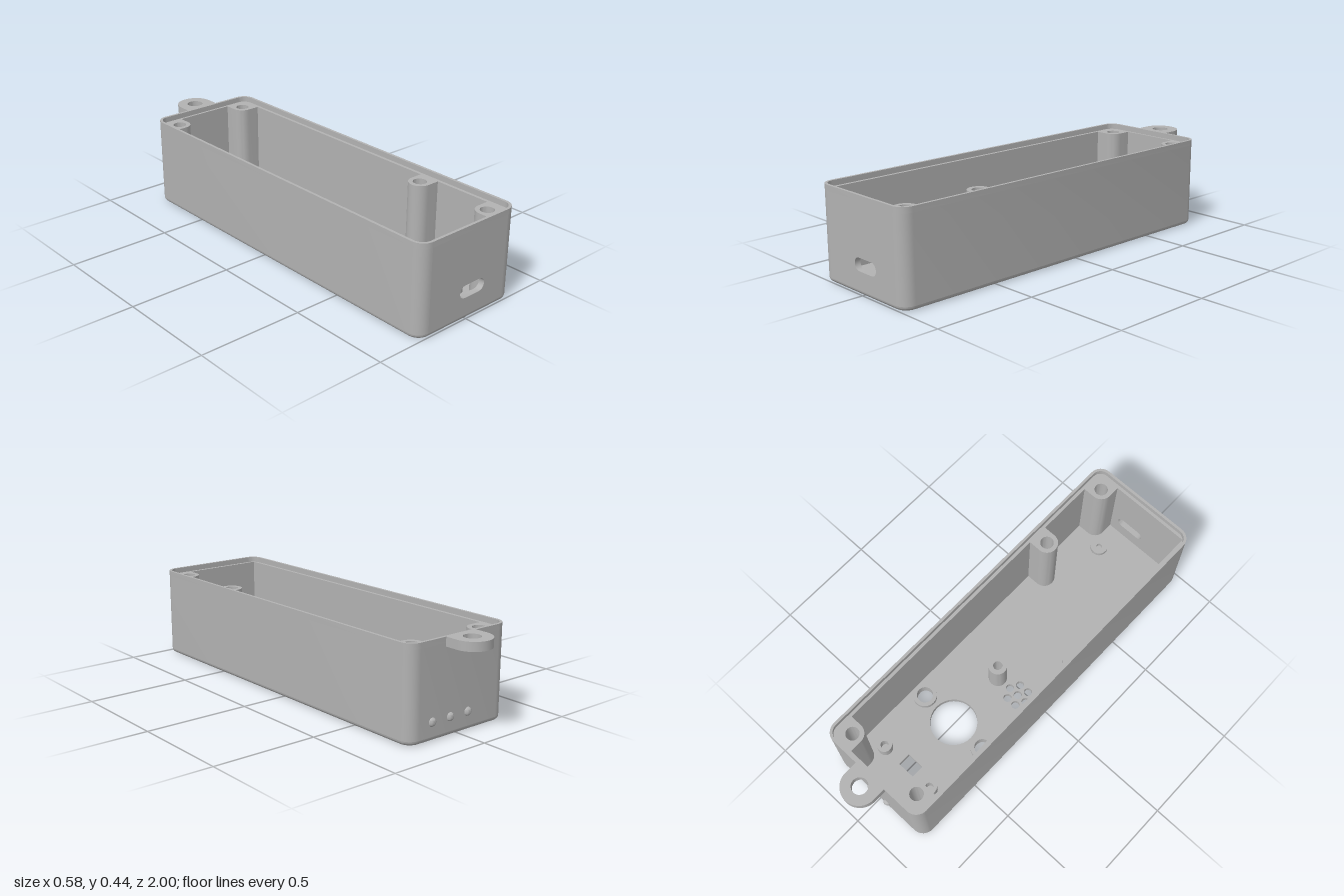
import * as THREE from 'three';
import { toCreasedNormals } from 'three/addons/utils/BufferGeometryUtils.js';

const H = 0.438, LEDGE = 0.412, FLOOR = 0.027, FILLET = 0.02;
const W = 0.288, BACK = -0.85, FRONT = 1, R = 0.06; // outer walls
const IW = 0.26, IBACK = -0.825, IFRONT = 0.972; // cavity

const grey = new THREE.MeshStandardMaterial({ color: 0xb2b2b2 });
grey.name = 'grey plastic';

// Points of an arc in plan (x, z)
function arc(cx, cz, r, a0, a1, n = 10) {
  return Array.from({ length: n + 1 }, (_, i) => {
    const a = a0 + (a1 - a0) * i / n;
    return new THREE.Vector2(cx + r * Math.cos(a), cz + r * Math.sin(a));
  });
}

// Rounded outline of the case, moved inwards by an inset
function outline(inset) {
  const r = R - inset, x = W - R, z0 = BACK + R, z1 = FRONT - R, q = Math.PI / 2;
  return [
    ...arc(x, z1, r, 0, q), ...arc(-x, z1, r, q, 2 * q),
    ...arc(-x, z0, r, 2 * q, 3 * q), ...arc(x, z0, r, 3 * q, 4 * q),
  ];
}

const circle = (x, z, r) => arc(x, z, r, 0, Math.PI * 2, 32).slice(0, -1);
const rect = (x0, z0, x1, z1) => [[x0, z0], [x1, z0], [x1, z1], [x0, z1]].map(p => new THREE.Vector2(...p));

function makeShape(points, holes = []) {
  const s = new THREE.Shape(points);
  s.holes = holes.map(h => new THREE.Path(h));
  return s;
}

export function createModel() {
  const model = new THREE.Group();
  model.name = 'openCase';

  function add(name, geometry) {
    const mesh = new THREE.Mesh(toCreasedNormals(geometry, 0.6), grey);
    mesh.name = name;
    model.add(mesh);
    return mesh;
  }

  // Raises a plan outline from y0 to y1
  function raise(name, points, holes, y0, y1) {
    const g = new THREE.ExtrudeGeometry(makeShape(points, holes), { depth: y1 - y0, bevelEnabled: false });
    g.rotateX(Math.PI / 2);
    g.translate(0, y1, 0);
    return add(name, g);
  }

  // Floor with the large opening, screw holes, window and sound holes
  const grille = [circle(-0.133, -0.035, 0.02)];
  for (let i = 0; i < 6; i++) {
    const a = i * Math.PI / 3;
    grille.push(circle(-0.133 + 0.052 * Math.cos(a), -0.035 + 0.052 * Math.sin(a), 0.02));
  }
  raise('floor', outline(FILLET), [
    circle(0, -0.348, 0.115), circle(0.192, -0.348, 0.039), circle(-0.192, -0.348, 0.039),
    rect(-0.045, -0.675, 0.045, -0.61), ...grille,
  ], 0, FLOOR);

  // Rounded bottom edge, from stacked outlines
  const pos = [], idx = [], steps = 6;
  let n = 0;
  for (let k = 0; k <= steps; k++) {
    const a = k / steps * Math.PI / 2;
    const loop = outline(FILLET * (1 - Math.sin(a)));
    n = loop.length;
    loop.forEach(p => pos.push(p.x, FILLET * (1 - Math.cos(a)), p.y));
  }
  for (let k = 0; k < steps; k++) {
    for (let i = 0; i < n; i++) {
      const a = k * n + i, b = k * n + (i + 1) % n;
      idx.push(a, a + n, b, b, a + n, b + n);
    }
  }
  const edge = new THREE.BufferGeometry();
  edge.setAttribute('position', new THREE.Float32BufferAttribute(pos, 3));
  edge.setIndex(idx);
  add('bottomEdge', edge);

  // Side and back walls, open at the front
  const q = Math.PI / 2, cx = W - R;
  raise('sideAndBackWalls', [
    ...arc(-cx, FRONT - R, R, q, 2 * q), ...arc(-cx, BACK + R, R, 2 * q, 3 * q),
    ...arc(cx, BACK + R, R, 3 * q, 4 * q), ...arc(cx, FRONT - R, R, 0, q),
    ...[[cx, IFRONT], [IW, IFRONT], [IW, IBACK], [-IW, IBACK], [-IW, IFRONT], [-cx, IFRONT]]
      .map(p => new THREE.Vector2(...p)),
  ], [], FILLET, LEDGE);

  // Front wall with the rounded slot
  const slot = [...arc(0.074, 0.135, 0.03, -q, q), ...arc(-0.016, 0.135, 0.03, q, 3 * q)];
  const front = new THREE.ExtrudeGeometry(makeShape(rect(-cx, FILLET, cx, LEDGE), [slot]),
    { depth: FRONT - IFRONT, bevelEnabled: false });
  front.translate(0, 0, IFRONT);
  add('frontWall', front);

  // Thin lip around the lid seat
  raise('rimLip', outline(0), [outline(0.013)], LEDGE, H);

  // Lid screw columns merged into the walls
  const r = 0.053, e = IW - 0.2;
  const cornerBoss = [[-r, e], ...arc(0, 0, r, Math.PI, 3 * q).map(p => [p.x, p.y]), [e, -r], [e, e]];
  const sideBoss = [[e, r], ...arc(0, 0, r, q, 3 * q, 20).map(p => [p.x, p.y]), [e, -r]];
  const bosses = [
    [cornerBoss, -0.2, IBACK + e, -1, -1], [cornerBoss, 0.2, IBACK + e, 1, -1],
    [cornerBoss, 0.2, IFRONT - e, 1, 1], [sideBoss, 0.2, 0.522, 1, 1],
  ];
  for (const [pts, x, z, sx, sz] of bosses) {
    raise('lidScrewColumn', pts.map(p => new THREE.Vector2(x + sx * p[0], z + sz * p[1])),
      [circle(x, z, 0.032)], FLOOR, LEDGE);
  }

  // Round posts on the floor: x, z, radius, hole radius, top
  const posts = [
    [-0.192, -0.348, 0.058, 0.039, 0.052], [0.192, -0.348, 0.058, 0.039, 0.052],
    [-0.149, -0.663, 0.036, 0.019, 0.085], [0.149, -0.663, 0.036, 0.019, 0.085],
    [0, -0.035, 0.045, 0.022, 0.2],
    [-0.208, 0.27, 0.043, 0.013, 0.047], [0.103, 0.833, 0.043, 0.013, 0.047],
  ];
  for (const [x, z, ro, ri, top] of posts) {
    raise('floorPost', circle(x, z, ro), [circle(x, z, ri)], FLOOR, top);
  }

  // Hanging lug on the back
  raise('hangingLug', [
    new THREE.Vector2(0.088, BACK), ...arc(0, -0.912, 0.088, 0, -Math.PI, 24), new THREE.Vector2(-0.088, BACK),
  ], [circle(0, -0.912, 0.039)], 0.396, H);

  // Three small domes on the back
  for (const x of [0.155, 0.05, -0.055]) {
    const dome = add('backDome', new THREE.SphereGeometry(0.021, 20, 14));
    dome.position.set(x, 0.085, -0.844);
  }
  return model;
}
